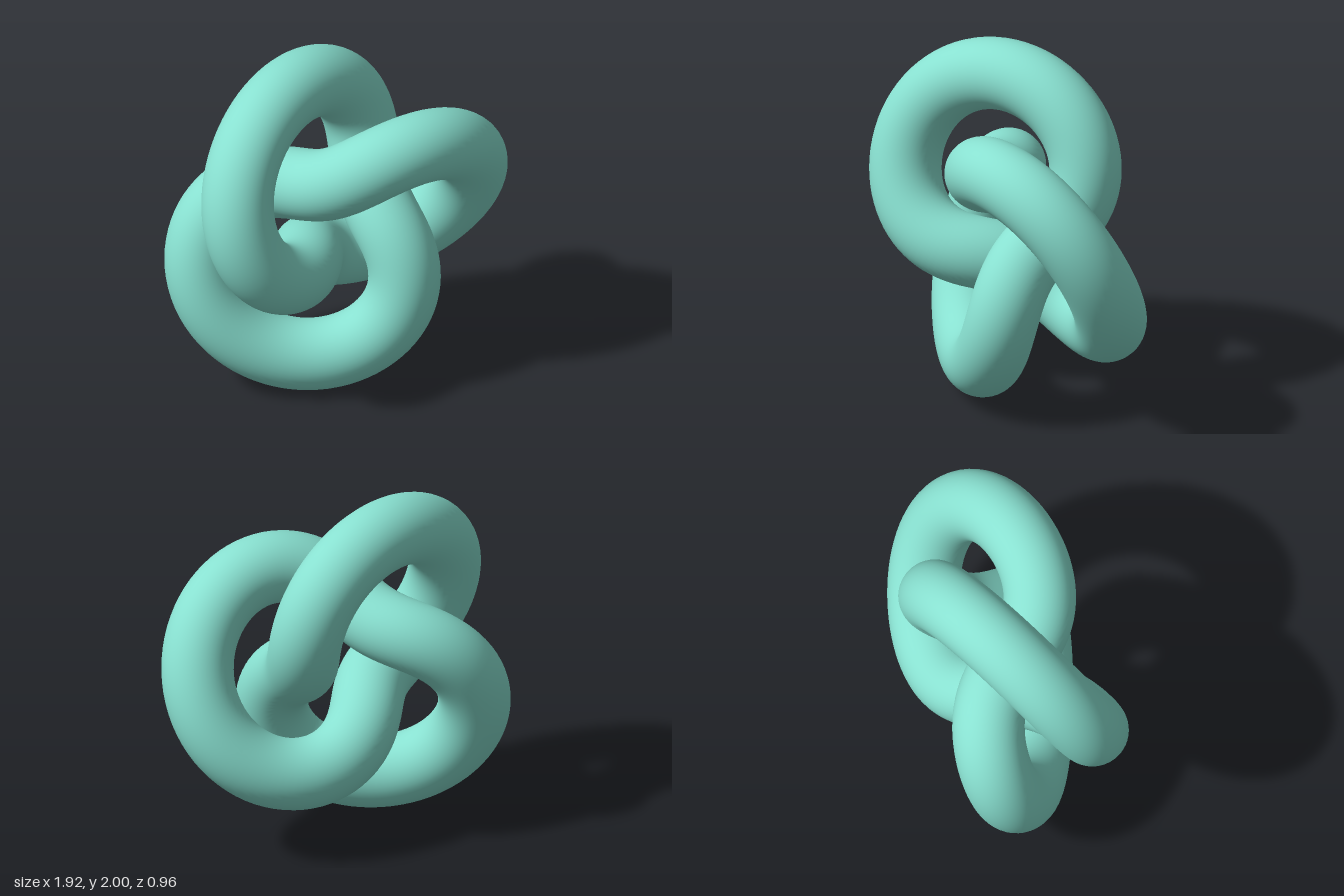
import * as THREE from 'three';

export function createModel() {
  const group = new THREE.Group();

  // Smooth three-lobed knot, one lobe pointing to +x
  const radius = 0.567;
  const tube = 0.198;
  const knot = new THREE.Mesh(
    new THREE.TorusKnotGeometry(radius, tube, 256, 48, 2, 3),
    new THREE.MeshStandardMaterial({ color: 0x88e0d0 })
  );
  knot.name = 'trefoilKnot';

  // Stand the knot on the ground and centre its width
  knot.geometry.computeBoundingBox();
  const { min, max } = knot.geometry.boundingBox;
  knot.position.set(-(min.x + max.x) / 2, -min.y, -(min.z + max.z) / 2);

  group.add(knot);
  return group;
}
